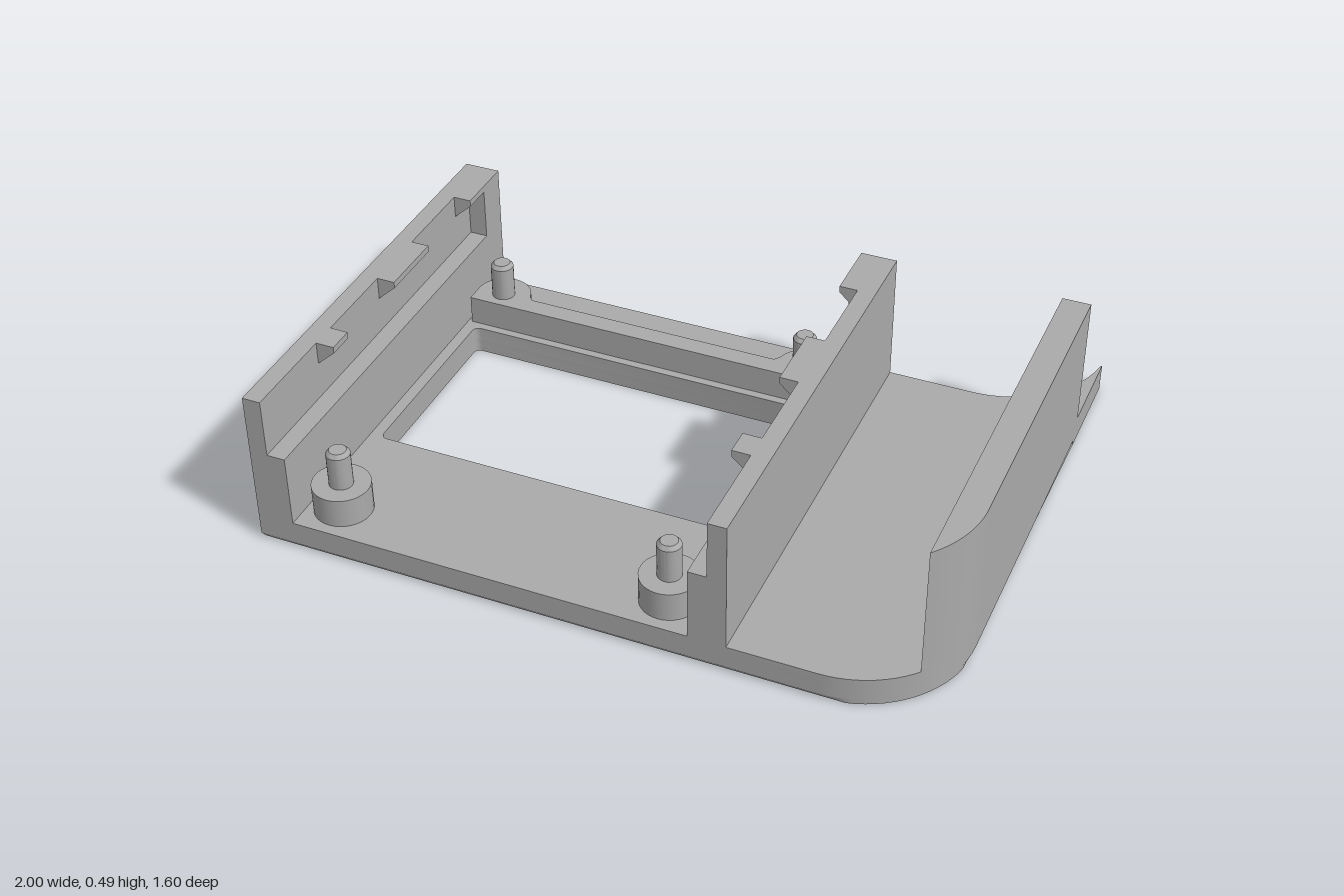
import * as THREE from 'three';
import { toCreasedNormals } from 'three/addons/utils/BufferGeometryUtils.js';

const TOP = 0.085;    // floor of the tray
const WALL = 0.49;    // top of the walls
const BOSS = 0.175;   // top of bosses and rail
const R = 0.33;       // plan corner radius

export function createModel() {
  const group = new THREE.Group();
  const grey = new THREE.MeshStandardMaterial({ color: 0xaaaaaa });
  grey.name = 'plain grey';

  const add = (name, geometry) => {
    const mesh = new THREE.Mesh(geometry, grey);
    mesh.name = name;
    group.add(mesh);
    return mesh;
  };
  const poly = (pts) => new THREE.Shape(pts.map(([x, y]) => new THREE.Vector2(x, y)));
  const arc = (cx, cz, r, a0, a1, n) => Array.from({ length: n + 1 }, (_, i) => {
    const a = a0 + (a1 - a0) * i / n;
    return [cx + r * Math.cos(a), cz + r * Math.sin(a)];
  });
  // Plan shape (x, z) raised from y0 to y1
  const slab = (shape, y0, y1) => {
    const g = new THREE.ExtrudeGeometry(shape, { depth: y1 - y0, bevelEnabled: false, curveSegments: 12 });
    return g.rotateX(Math.PI / 2).translate(0, y1, 0);
  };
  const smooth = (g) => toCreasedNormals(g, 0.5);
  // Profile (x, y) running from z0 to z1
  const prism = (pts, z0, z1) =>
    new THREE.ExtrudeGeometry(poly(pts), { depth: z1 - z0, bevelEnabled: false }).translate(0, 0, z0);

  // Floor outline: rounded front corner, flared back corner
  const windowHole = () => {
    const x0 = -0.855, x1 = 0.27, z0 = -0.245, z1 = 0.36, r = 0.02, q = Math.PI / 2;
    return poly([
      ...arc(x0 + r, z0 + r, r, 2 * q, 3 * q, 4), ...arc(x1 - r, z0 + r, r, 3 * q, 4 * q, 4),
      ...arc(x1 - r, z1 - r, r, 0, q, 4), ...arc(x0 + r, z1 - r, r, q, 2 * q, 4),
    ]);
  };
  const floorShape = () => {
    const s = poly([
      [-1, -0.52],
      ...arc(0.67, -0.85, R, Math.PI / 2, 0.16, 16),
      [1, -0.8], [1, -0.5], [1, -0.495],
      ...arc(0.67, 0.47, R, 0, Math.PI / 2, 20),
      [-1, 0.8],
    ]);
    s.holes.push(windowHole());
    return s;
  };

  // Bottom layer with a small chamfer on its lower edge
  const bottom = slab(floorShape(), 0, 0.015);
  const p = bottom.attributes.position;
  for (let i = 0; i < p.count; i++) {
    if (p.getY(i) > 0.007) continue;
    if (p.getZ(i) > -0.497) p.setX(i, Math.min(p.getX(i), 0.99));
    p.setX(i, Math.max(p.getX(i), -0.99));
    p.setZ(i, Math.min(p.getZ(i), 0.79));
  }
  add('floorChamfer', smooth(bottom));
  add('floorLower', smooth(slab(floorShape(), 0.015, 0.045)));

  // Upper layer with the shallow slot behind the rail
  const upper = floorShape();
  upper.holes.push(poly([[-0.525, -0.43], [-0.065, -0.43], [-0.065, -0.335], [-0.525, -0.335]]));
  add('floorUpper', smooth(slab(upper, 0.045, TOP)));

  // Outer wall following the rounded front corner
  const a = Math.acos((0.915 - 0.67) / R);
  add('outerWall', smooth(slab(poly([
    [0.915, -0.52], [1, -0.52], ...arc(0.67, 0.47, R, 0, a, 14),
  ]), TOP, WALL)));

  // Pair of facing walls with ledges and snap teeth
  for (const [side, mx] of [['right', (x) => x], ['left', (x) => -0.585 - x]]) {
    const rect = (x0, x1, y0, y1) => [[mx(x0), y0], [mx(x1), y0], [mx(x1), y1], [mx(x0), y1]];
    add(side + 'LedgeWall', prism([
      [mx(-1), TOP], [mx(-0.89), TOP], [mx(-0.89), 0.31],
      [mx(-0.945), 0.31], [mx(-0.945), WALL], [mx(-1), WALL],
    ], -0.52, 0.8));
    add(side + 'WallEnd', prism(rect(-0.945, -0.89, 0.31, WALL), -0.52, -0.42));
    for (const [z0, z1] of [[-0.42, -0.33], [-0.06, 0.15], [0.42, 0.5]]) {
      add(side + 'SnapTooth', prism([
        [mx(-0.945), 0.42], [mx(-0.89), 0.47], [mx(-0.89), WALL], [mx(-0.945), WALL],
      ], z0, z1));
    }
  }

  // Rail joining the two back bosses
  const xs = [-0.793, 0.205], br = 0.085, zb = -0.33;
  add('backRail', smooth(slab(poly([
    [xs[0] - br, -0.27],
    ...arc(xs[0], zb, br, Math.PI, 2 * Math.PI - 0.2, 18),
    [xs[0] + br + 0.012, zb],
    [xs[1] - br - 0.012, zb],
    ...arc(xs[1], zb, br, Math.PI + 0.2, 2 * Math.PI, 18),
    [xs[1] + br, -0.27],
  ]), TOP, BOSS)));

  // Front bosses and the four chamfered pins
  const pinProfile = [[0.035, BOSS], [0.035, 0.28], [0.025, 0.292], [0, 0.292]]
    .map(([r, y]) => new THREE.Vector2(r, y));
  for (const x of xs) {
    add('frontBoss', new THREE.CylinderGeometry(br, br, BOSS - TOP, 36))
      .position.set(x, (TOP + BOSS) / 2, 0.683);
    for (const z of [zb, 0.683]) {
      add('pin', smooth(new THREE.LatheGeometry(pinProfile, 24))).position.set(x, 0, z);
    }
  }
  return group;
}
